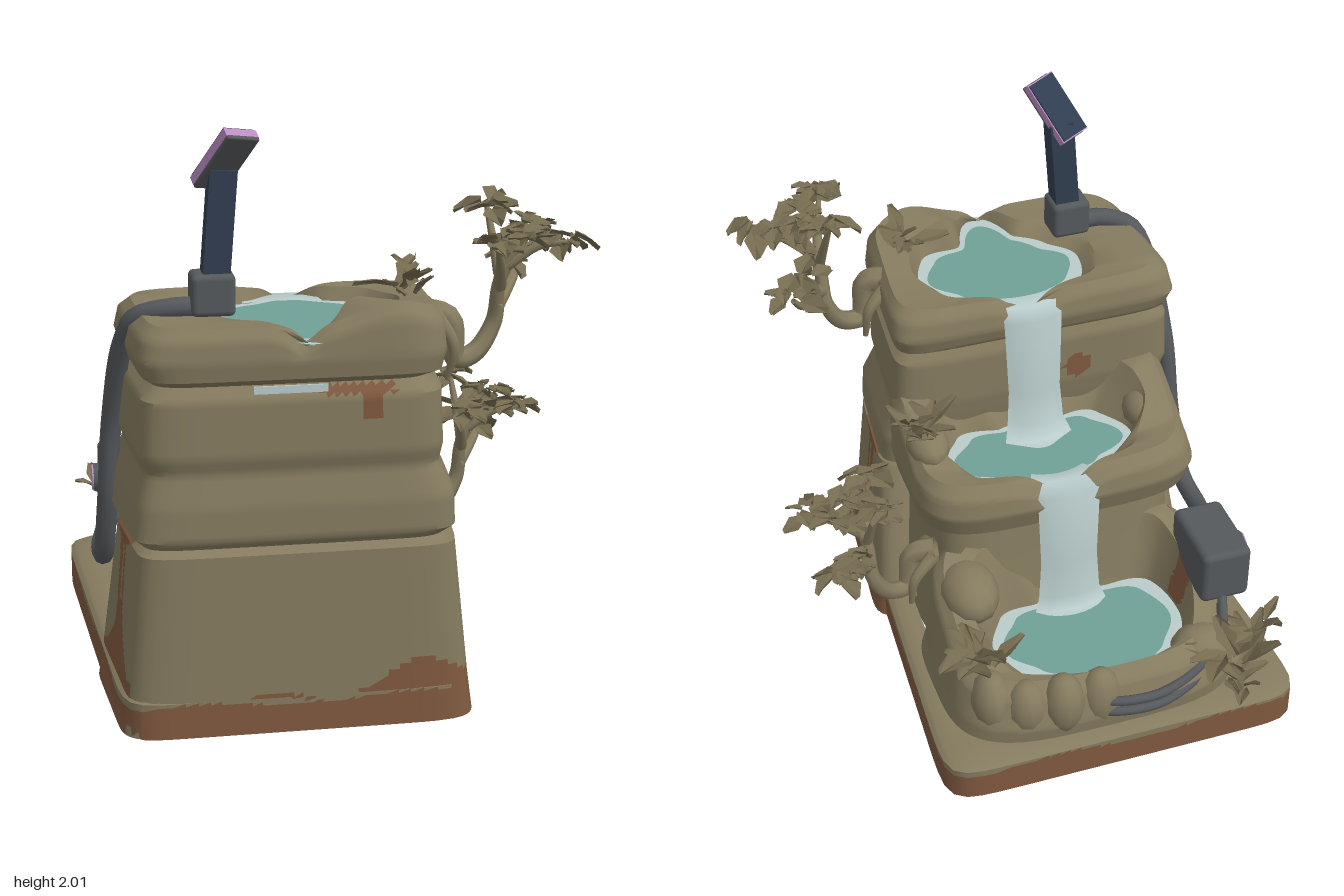
import * as THREE from 'three';
import { mergeGeometries, toCreasedNormals } from 'three/addons/utils/BufferGeometryUtils.js';
import { RoundedBoxGeometry } from 'three/addons/geometries/RoundedBoxGeometry.js';

const mat = (name, color) => {
  const m = new THREE.MeshStandardMaterial({ color, side: THREE.DoubleSide });
  m.name = name;
  return m;
};
const N = 120;
const V = (a) => new THREE.Vector3(...a);
let seed = 7;
const rnd = () => (seed = (seed * 16807) % 2147483647) / 2147483647;

// Rounded rectangle ring; taper narrows it towards the front, top(x, z) may lift it
function rect(x0, x1, z0, z1, y, n = 9, taper = 0, top = null) {
  const ring = [];
  for (let i = 0; i < N; i++) {
    const c = Math.cos(i / N * Math.PI * 2), s = Math.sin(i / N * Math.PI * 2);
    const r = (Math.abs(c) ** n + Math.abs(s) ** n) ** (-1 / n);
    const x = (x0 + x1) / 2 + (x1 - x0) / 2 * c * r * (1 - taper * s * r);
    const z = (z0 + z1) / 2 + (z1 - z0) / 2 * s * r;
    ring.push([x, top ? y + top(x, z) : y, z]);
  }
  return ring;
}

// Pool outline from twelve radii about a centre
function pool(cx, cz, radii, y, k = 1) {
  const ring = [];
  for (let i = 0; i < N; i++) {
    const t = i / N * 12, j = Math.floor(t), f = t - j, e = f * f * (3 - 2 * f);
    const r = k * (radii[j] * (1 - e) + radii[(j + 1) % 12] * e);
    const a = i / N * Math.PI * 2;
    ring.push([cx + r * Math.cos(a), y, cz + r * Math.sin(a)]);
  }
  return ring;
}
const mix = (a, b, t) => a.map((p, i) => p.map((v, k) => v + (b[i][k] - v) * t));
// Inner lip of a rim, kept almost level
const lip = (rim, edge, t) => mix(rim, edge, t).map(([x, , z], i) => [x, rim[i][1] - 0.008, z]);

// Skin over rings; rule(x, y, z) picks a material for each face, or -1 to leave it open
function loft(rings, rule = () => 0) {
  const all = [rings[0]];
  for (let j = 1; j < rings.length; j++) {
    const steps = Math.max(2, Math.ceil(Math.abs(rings[j][0][1] - rings[j - 1][0][1]) / 0.02));
    for (let s = 1; s <= steps; s++) all.push(mix(rings[j - 1], rings[j], s / steps));
  }
  const pts = all.flat(), lists = [[], []];
  const tri = (...f) => {
    const c = [0, 1, 2].map((k) => f.reduce((s, q) => s + pts[q][k], 0) / 3);
    const m = Number(rule(...c));
    if (m >= 0) lists[m].push(...f);
  };
  for (let j = 0; j < all.length - 1; j++) for (let i = 0; i < N; i++) {
    const a = j * N + i, b = j * N + (i + 1) % N;
    tri(a, a + N, b);
    tri(b, a + N, b + N);
  }
  const g = new THREE.BufferGeometry();
  g.setAttribute('position', new THREE.Float32BufferAttribute(pts.flat(), 3));
  g.setIndex(lists.flat());
  g.addGroup(0, lists[0].length, 0);
  g.addGroup(lists[0].length, lists[1].length, 1);
  return toCreasedNormals(g, 0.7);
}

// Tube narrowing from r0 to r1
function limb(points, r0, r1, sides = 7) {
  const curve = new THREE.CatmullRomCurve3(points.map(V)), n = points.length * 5;
  const g = new THREE.TubeGeometry(curve, n, r0, sides), p = g.attributes.position, v = new THREE.Vector3();
  for (let i = 0; i < p.count; i++) {
    const t = Math.floor(i / (sides + 1)) / n, c = curve.getPointAt(t);
    v.fromBufferAttribute(p, i).sub(c).multiplyScalar(1 + (r1 / r0 - 1) * t).add(c);
    p.setXYZ(i, v.x, v.y, v.z);
  }
  return g;
}

// Tuft of folded leaves spreading from a point
function tuft(at, count, size, lift, width) {
  const leaves = [];
  for (let i = 0; i < count; i++) {
    const l = size * (0.7 + rnd() * 0.6), w = l * width;
    const g = new THREE.PlaneGeometry(w * 2, l, 2, 2).toNonIndexed();
    const p = g.attributes.position;
    for (let k = 0; k < p.count; k++) {
      const x = p.getX(k), t = p.getY(k) / l + 0.5;
      p.setXYZ(k, x * (t > 0.9 ? 0.3 : t < 0.1 ? 0.3 : 1), Math.abs(x) * 0.4 - t * t * l * 0.25, t * l);
    }
    g.rotateZ((rnd() - 0.5) * 0.8).rotateX(-lift - (rnd() - 0.5) * 0.8).rotateY(i / count * 6.28 + rnd());
    g.translate(at[0] + (rnd() - 0.5) * size * 0.7, at[1] + (rnd() - 0.5) * size * 0.5, at[2] + (rnd() - 0.5) * size * 0.7);
    g.computeVertexNormals();
    leaves.push(g);
  }
  return mergeGeometries(leaves);
}

export function createModel() {
  const model = new THREE.Group();
  const rock = mat('rock', 0x857b5f), stain = mat('rust stain', 0x80593f), water = mat('water', 0x70a096);
  const foam = mat('foam', 0xb9cccb), leaf = mat('leaf', 0x756b50), metal = mat('metal', 0x55595c);
  const navy = mat('navy', 0x303d50), pink = mat('lilac', 0xbb8cc2), dark = mat('dark underside', 0x34383a);
  const add = (name, geo, m, pos = [0, 0, 0], parent = model) => {
    const mesh = new THREE.Mesh(geo, m);
    mesh.name = name;
    mesh.position.set(...pos);
    parent.add(mesh);
    return mesh;
  };
  const bell = (x, c, w) => Math.exp(-(((x - c) / w) ** 2));

  // Open plinth with a ledge round the cliffs
  const slab = (y, d = 0) => rect(-0.815 + d, 0.46 - d, -0.8 + d, 0.87 - d, y, 14, 0.085);
  add('plinth', loft([slab(0), slab(0.1), slab(0.125), slab(0.14, 0.02), rect(-0.68, 0.36, -0.52, 0.83, 0.14, 14, 0.04)],
    (x, y, z) => y < 0.108 + 0.012 * Math.sin(x * 9 + z * 7)), [rock, stain]);

  // Tall cliff with bulging layers and the upper basin, open behind
  const stains = (x, y, z) => {
    if (z < 0.5 && y < 0.6 && Math.abs(x + 0.16) < 0.44) return -1;
    if (z > 0.8) return (y < 0.115 + 0.13 * bell(x, 0.25, 0.15) + 0.02 * bell(x, -0.25, 0.15) + 0.008 * Math.sin(x * 17)
      && (x + 0.65) ** 2 / 0.012 + y * y / 0.0045 > 1)
      || (y > 1.155 && y < 1.185 && Math.abs(x - 0.02) < 0.12) || (y > 1.08 && y < 1.17 && Math.abs(x - 0.07) < 0.035);
    return y < 0.13 + 0.17 * bell(z, 0.58, 0.18) + 0.1 * bell(z, 0.58, 0.06)
      || (y < 0.64 && (Math.abs(z - 0.545) < 0.022 || Math.abs(z - 0.6) < 0.012))
      || (y > 0.645 - 0.06 * bell(z, 0.57, 0.1) && y < 0.647 && z > 0.38 && z < 0.7)
      || (z < 0.35 && (x + 0.34) ** 2 + (y - 1.02) ** 2 < 0.0025);
  };
  const upR = [0.3, 0.29, 0.21, 0.35, 0.21, 0.22, 0.27, 0.27, 0.22, 0.26, 0.22, 0.26];
  const upTop = (x, z) => 0.085 * bell(x, 0.14, 0.15) * bell(z, 0.74, 0.22)
    - 0.055 * (z < 0.4 ? bell(x, -0.15, 0.1) : z > 0.7 ? bell(x, -0.16, 0.055) : 0);
  const upRim = rect(-0.66, 0.31, 0.25, 0.85, 1.39, 6, 0.05, upTop);
  const upEdge = pool(-0.13, 0.5, upR, 1.325, 1.05);
  const level = (x0, x1, z0, z1, y) => rect(x0, x1, z0, z1, y, 9, 0.05);
  add('tallCliff', loft([
    level(-0.79, 0.46, 0.19, 0.87, 0), level(-0.77, 0.44, 0.2, 0.87, 0.14), level(-0.72, 0.38, 0.36, 0.87, 0.63),
    level(-0.7, 0.34, 0.37, 0.84, 0.65), level(-0.735, 0.385, 0.3, 0.86, 0.68), level(-0.72, 0.38, 0.28, 0.86, 0.79),
    level(-0.69, 0.33, 0.26, 0.84, 0.9), level(-0.71, 0.34, 0.25, 0.86, 0.96), level(-0.7, 0.33, 0.25, 0.86, 1.15),
    level(-0.66, 0.28, 0.27, 0.83, 1.195), level(-0.69, 0.33, 0.23, 0.87, 1.22), level(-0.71, 0.345, 0.21, 0.88, 1.28),
    rect(-0.7, 0.34, 0.22, 0.875, 1.35, 7, 0.05, upTop), upRim, lip(upRim, upEdge, 0.75), upEdge,
  ], stains), [rock, stain]);
  add('frontSeep', new THREE.BoxGeometry(0.24, 0.025, 0.008), foam, [-0.2, 1.183, 0.853]);

  // Inner support, open below the basin and towards the front
  add('innerCliff', loft([rect(-0.66, 0.36, -0.2, 0.6, 0.12, 5), rect(-0.62, 0.31, -0.15, 0.6, 0.5, 5), rect(-0.62, 0.31, -0.13, 0.6, 0.68, 5)],
    (x, y, z) => (z > 0.45 || (y < 0.22 && z < -0.05) ? -1 : y > 0.57 && Math.abs(z - 0.15) < (y - 0.54) * 0.5)), [rock, stain]);

  // Middle ledge
  const midR = [0.35, 0.3, 0.18, 0.16, 0.18, 0.3, 0.34, 0.24, 0.18, 0.24, 0.18, 0.25];
  const midTop = (x, z) => 0.5 * Math.max(0, Math.min(z, 0.25)) - 0.06 * bell(x, -0.14, 0.13) * (z < 0 ? 1 : 0);
  const midRim = rect(-0.64, 0.34, -0.16, 0.5, 0.88, 4.5, 0, midTop);
  const midEdge = pool(-0.13, 0.06, midR, 0.795, 1.05);
  add('middleLedge', loft([
    rect(-0.6, 0.3, -0.1, 0.5, 0.63, 4.5), rect(-0.68, 0.36, -0.18, 0.5, 0.67, 4.5), rect(-0.7, 0.38, -0.21, 0.5, 0.76, 4.5),
    rect(-0.68, 0.37, -0.2, 0.5, 0.83, 4.5, 0, midTop), midRim, lip(midRim, midEdge, 0.55), midEdge,
  ]), [rock, stain]);

  // Lower basin, its rim rising towards the cliff
  const lowR = [0.34, 0.31, 0.22, 0.2, 0.24, 0.35, 0.34, 0.32, 0.27, 0.25, 0.24, 0.3];
  const lowTop = (x, z) => 0.48 * Math.max(0, Math.min(z + 0.55, 0.44));
  const lowRim = rect(-0.61, 0.34, -0.67, 0, 0.36, 3.2, 0, lowTop);
  const lowEdge = pool(-0.16, -0.4, lowR, 0.275, 1.06);
  add('lowerBasin', loft([
    rect(-0.7, 0.43, -0.74, 0.05, 0.12, 3.6), rect(-0.69, 0.41, -0.75, 0.05, 0.2, 3.6),
    rect(-0.66, 0.38, -0.72, 0.02, 0.31, 3.4, 0, lowTop), lowRim, lip(lowRim, lowEdge, 0.5), lowEdge,
  ], (x, y, z) => (z > -0.12 && Math.abs(x + 0.15) < 0.44 ? -1 : y > 0.3 && Math.abs(x + 0.54) < 0.025 && Math.abs(z + 0.35) < 0.05)), [rock, stain]);

  // Water surfaces with foam along the banks
  for (const [name, cx, cz, r, y] of [['upper', -0.13, 0.5, upR, 1.33], ['middle', -0.13, 0.06, midR, 0.8], ['lower', -0.16, -0.4, lowR, 0.28]]) {
    const wobble = r.map((v, i) => v * (i % 2 ? 0.89 : 0.96));
    add(name + 'Water', loft([pool(cx, cz, r, y, 1.07), pool(cx, cz, r, y, 0.001)]), water);
    add(name + 'Foam', loft([pool(cx, cz, r, y + 0.006, 1.1), pool(cx, cz, wobble, y + 0.006)]), foam);
  }

  // Waterfalls: [y, z, half width] down each sheet
  const fall = (name, prof) => {
    const g = new THREE.PlaneGeometry(1, 1, 6, prof.length - 1), p = g.attributes.position;
    for (let i = 0; i < p.count; i++) {
      const u = p.getX(i) * 2, [y, z, w] = prof[Math.floor(i / 7)];
      p.setXYZ(i, -0.15 + u * w, y, z + u * u * 0.025);
    }
    g.computeVertexNormals();
    add(name, g, foam);
  };
  fall('upperFall', [[1.342, 0.3, 0.14], [1.35, 0.22, 0.12], [1.3, 0.185, 0.11], [1, 0.165, 0.1], [0.86, 0.15, 0.11], [0.81, 0.11, 0.13], [0.808, 0.07, 0.06]]);
  fall('lowerFall', [[0.81, -0.09, 0.1], [0.84, -0.17, 0.13], [0.8, -0.225, 0.12], [0.5, -0.24, 0.11], [0.34, -0.25, 0.12], [0.29, -0.27, 0.14], [0.288, -0.3, 0.1]]);

  // Underside of the lower basin
  const down = (r, sx, sz) => new THREE.CircleGeometry(r, 12).rotateX(Math.PI / 2).scale(sx, 1, sz);
  add('basinUnderside', down(1, 0.5, 0.34), dark, [-0.15, 0.2, -0.36]);
  add('drainWater', down(1, 0.22, 0.14), water, [-0.15, 0.194, -0.38]);

  // Boulders: [x, y, z, rx, ry, rz]
  [[0.25, 0.47, -0.24, 0.11, 0.1, 0.15], [-0.57, 0.86, 0.12, 0.09, 0.08, 0.1], [0.29, 0.9, 0.12, 0.08, 0.07, 0.12],
    [-0.1, 0.25, -0.69, 0.08, 0.13, 0.07], [0.04, 0.26, -0.69, 0.08, 0.13, 0.08], [0.17, 0.25, -0.66, 0.08, 0.12, 0.08],
    [0.28, 0.25, -0.59, 0.08, 0.13, 0.1], [-0.53, 0.27, -0.6, 0.12, 0.1, 0.1],
  ].forEach(([x, y, z, a, b, c]) => add('boulder', new THREE.SphereGeometry(1, 12, 8).scale(a, b, c), rock, [x, y, z]));

  // Two cliff trees sharing one form
  const tree = (at, turn, spread) => {
    const g = new THREE.Group();
    g.name = 'cliffTree';
    g.position.set(...at);
    const limbs = [
      [[[-0.08, 0.1, 0], [0, 0.08, 0.03], [0.03, -0.06, 0.02], [0.1, -0.05, 0], [0.17, 0.05, -0.02], [0.18, 0.2, 0.01], [0.24, 0.34, 0.03]], 0.048, 0.016],
      [[[0.17, 0.1, 0], [0.25, 0.17, -0.1], [0.3, 0.2, -0.2], [0.34, 0.26, -0.24]], 0.027, 0.01],
      [[[0.18, 0.18, 0.01], [0.15, 0.28, 0.12], [0.12, 0.36, 0.19]], 0.025, 0.009],
      [[[0.2, 0.25, 0.02], [0.3, 0.32, 0.05], [0.39, 0.34, 0.09]], 0.02, 0.009],
      [[[0.18, 0.22, 0], [0.17, 0.34, -0.06], [0.16, 0.43, -0.1]], 0.02, 0.009],
      [[[-0.06, 0.12, 0.04], [0.01, 0, 0.07], [0, -0.13, 0.03]], 0.03, 0.01],
      [[[-0.06, 0.1, -0.04], [0.02, 0.02, -0.06], [0.03, -0.11, -0.03]], 0.03, 0.01],
    ];
    add('branches', mergeGeometries(limbs.map((l) => limb(...l))), rock, [0, 0, 0], g);
    const tips = [[0.24, 0.38, 0.03], [0.34, 0.27, -0.23], [0.12, 0.37, 0.2], [0.38, 0.35, 0.09], [0.16, 0.43, -0.1],
      [0.26, 0.24, -0.12], [0.3, 0.38, -0.03], [0.2, 0.36, 0.14]];
    add('leaves', mergeGeometries(tips.map((t) => tuft(t, 9, 0.085, 0, 0.42))), leaf, [0, 0, 0], g);
    g.rotation.y = turn;
    g.scale.z = spread;
    model.add(g);
  };
  tree([0.37, 1.25, 0.56], 0, 1.1);
  tree([0.41, 0.48, -0.1], 0.05, 0.85);

  // Small plants in the rock: [x, y, z, size, count]
  [[0.23, 1.45, 0.62, 0.12, 9], [0.32, 0.99, 0.09, 0.13, 12], [0.32, 0.42, -0.58, 0.15, 14],
    [-0.62, 0.28, -0.68, 0.15, 12], [-0.72, 0.36, -0.68, 0.11, 7], [-0.6, 0.24, -0.76, 0.12, 8],
  ].forEach(([x, y, z, s, n]) => add('plant', tuft([0, 0, 0], n, s, 0.7, 0.24), leaf, [x, y, z]));

  // Pipe from pump to tower, and cables along the basin
  const tube = (name, pts, r) => add(name, limb(pts, r, r, 9), metal);
  tube('pipe', [[-0.62, 0.5, -0.24], [-0.72, 0.46, -0.13], [-0.77, 0.4, 0], [-0.775, 0.42, 0.2], [-0.765, 0.65, 0.32],
    [-0.745, 0.98, 0.38], [-0.71, 1.28, 0.52], [-0.67, 1.37, 0.58], [-0.57, 1.405, 0.62], [-0.44, 1.41, 0.62]], 0.036);
  [0, 1].forEach((i) => tube('cable', [[-0.65, 0.42 - i * 0.05, -0.5], [-0.6, 0.33 - i * 0.05, -0.62], [-0.48, 0.28 - i * 0.05, -0.7],
    [-0.32, 0.25 - i * 0.05, -0.75], [-0.15, 0.26 - i * 0.05, -0.75], [-0.06, 0.25 - i * 0.05, -0.7]], 0.018));

  // Pump with a round lilac badge
  add('pump', new RoundedBoxGeometry(0.19, 0.22, 0.31, 2, 0.025), metal, [-0.655, 0.515, -0.365]);
  add('pumpHub', new THREE.CylinderGeometry(0.055, 0.055, 0.03, 8).rotateZ(Math.PI / 2), metal, [-0.76, 0.52, -0.37]);
  add('pumpBadge', new THREE.CylinderGeometry(0.05, 0.05, 0.008, 8).rotateZ(Math.PI / 2), pink, [-0.777, 0.52, -0.37]);

  // Tower with a tilted panel head
  add('collar', new RoundedBoxGeometry(0.145, 0.14, 0.13, 2, 0.02), metal, [-0.425, 1.455, 0.62]);
  const mast = add('mast', new THREE.BoxGeometry(0.09, 0.36, 0.085), navy, [-0.4, 1.68, 0.62]);
  mast.rotation.z = -0.08;
  const head = new THREE.Group();
  head.name = 'panelHead';
  head.position.set(-0.38, 1.895, 0.64);
  head.rotation.set(0.73, 0.3, -0.2, 'YXZ');
  add('panelBack', new RoundedBoxGeometry(0.12, 0.25, 0.016, 2, 0.006), metal, [0, 0, 0.016], head);
  add('panelBand', new THREE.BoxGeometry(0.122, 0.244, 0.03), pink, [0, 0, -0.004], head);
  add('panelFace', new THREE.BoxGeometry(0.114, 0.235, 0.008), navy, [0, 0, -0.021], head);
  model.add(head);
  return model;
}
